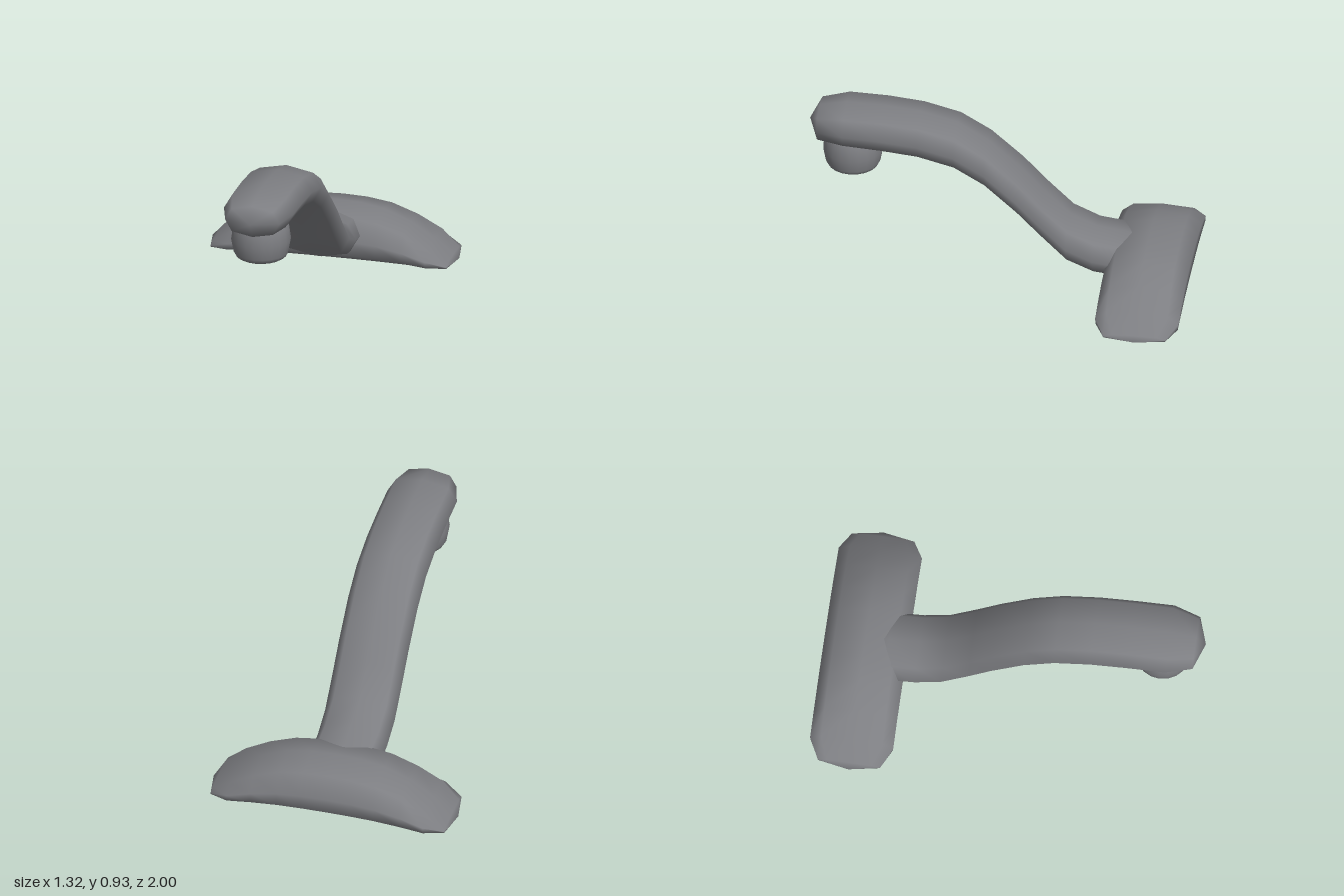
import * as THREE from 'three';

// Smooth closed skin over equal-length rings, ended by a point at each end.
function loft(rings, startTip, endTip) {
  const n = rings[0].length;
  const positions = [...rings.flat(), startTip, endTip].flat();
  const index = [];
  const start = rings.length * n, end = start + 1;
  const last = (rings.length - 1) * n;
  for (let j = 0; j < n; j++) {
    const k = (j + 1) % n;
    for (let i = 0; i < rings.length - 1; i++) {
      const a = i * n + j, b = i * n + k;
      index.push(a, b, b + n, a, b + n, a + n);
    }
    index.push(start, k, j, end, last + j, last + k);
  }
  const geometry = new THREE.BufferGeometry();
  geometry.setAttribute('position', new THREE.Float32BufferAttribute(positions, 3));
  geometry.setIndex(index);
  geometry.computeVertexNormals();
  return geometry;
}

export function createModel() {
  const group = new THREE.Group();
  const metal = new THREE.MeshStandardMaterial({ color: 0x7d7e82 });
  metal.name = 'grey metal';
  const add = (name, geometry) => {
    const mesh = new THREE.Mesh(geometry, metal);
    mesh.name = name;
    group.add(mesh);
    return mesh;
  };

  // Spout: upright eight-sided sections [z, centre height, half width, half height]
  const section = [[1, 0], [0.76, 0.74], [0, 1], [-0.76, 0.74],
    [-1, 0], [-0.76, -0.74], [0, -1], [0.76, -0.74]];
  const stations = [
    [-0.77, 0.15, 0.14, 0.085], [-0.66, 0.15, 0.187, 0.108], [-0.5, 0.17, 0.187, 0.11],
    [-0.36, 0.232, 0.187, 0.112], [-0.22, 0.37, 0.187, 0.11], [-0.1, 0.497, 0.187, 0.112],
    [0.07, 0.65, 0.187, 0.11], [0.23, 0.745, 0.187, 0.11], [0.42, 0.795, 0.187, 0.11],
    [0.61, 0.815, 0.187, 0.11], [0.81, 0.825, 0.187, 0.105], [0.95, 0.818, 0.145, 0.085],
  ];
  const spoutRings = stations.map(([z, y, w, h]) =>
    section.map(([u, v]) => [-0.008 + u * w, y + v * h, z]));
  add('spout', loft(spoutRings, [-0.008, 0.15, -0.82], [-0.008, 0.818, 1]));

  // Base: domed sections across x [x, height scale, depth scale]
  const half = [[0, 0.272], [0.16, 0.24], [0.218, 0.13], [0.215, 0.05], [0.165, 0.014], [0, 0.002]];
  const outline = [...half, ...half.slice(1, -1).reverse().map(([z, y]) => [-z, y])];
  const side = [[0.13, 0.98, 1], [0.26, 0.9, 1], [0.4, 0.69, 1], [0.53, 0.4, 1], [0.63, 0.1, 0.75]];
  const spans = [...side.map(([x, h, d]) => [-x, h, d]).reverse(), [0, 1, 1], ...side];
  const baseRings = spans.map(([x, h, d]) =>
    outline.map(([z, y]) => [x, y * h, -0.782 + z * d]));
  add('base', loft(baseRings, [-0.66, 0.006, -0.782], [0.66, 0.006, -0.782]));

  // Nozzle under the spout tip
  const profile = [[0, 0.56], [0.115, 0.56], [0.132, 0.57], [0.143, 0.59], [0.156, 0.66],
    [0.145, 0.735], [0.12, 0.77], [0, 0.77]].map(([r, y]) => new THREE.Vector2(r, y));
  add('nozzle', new THREE.LatheGeometry(profile, 20)).position.set(-0.005, 0, 0.775);

  return group;
}
